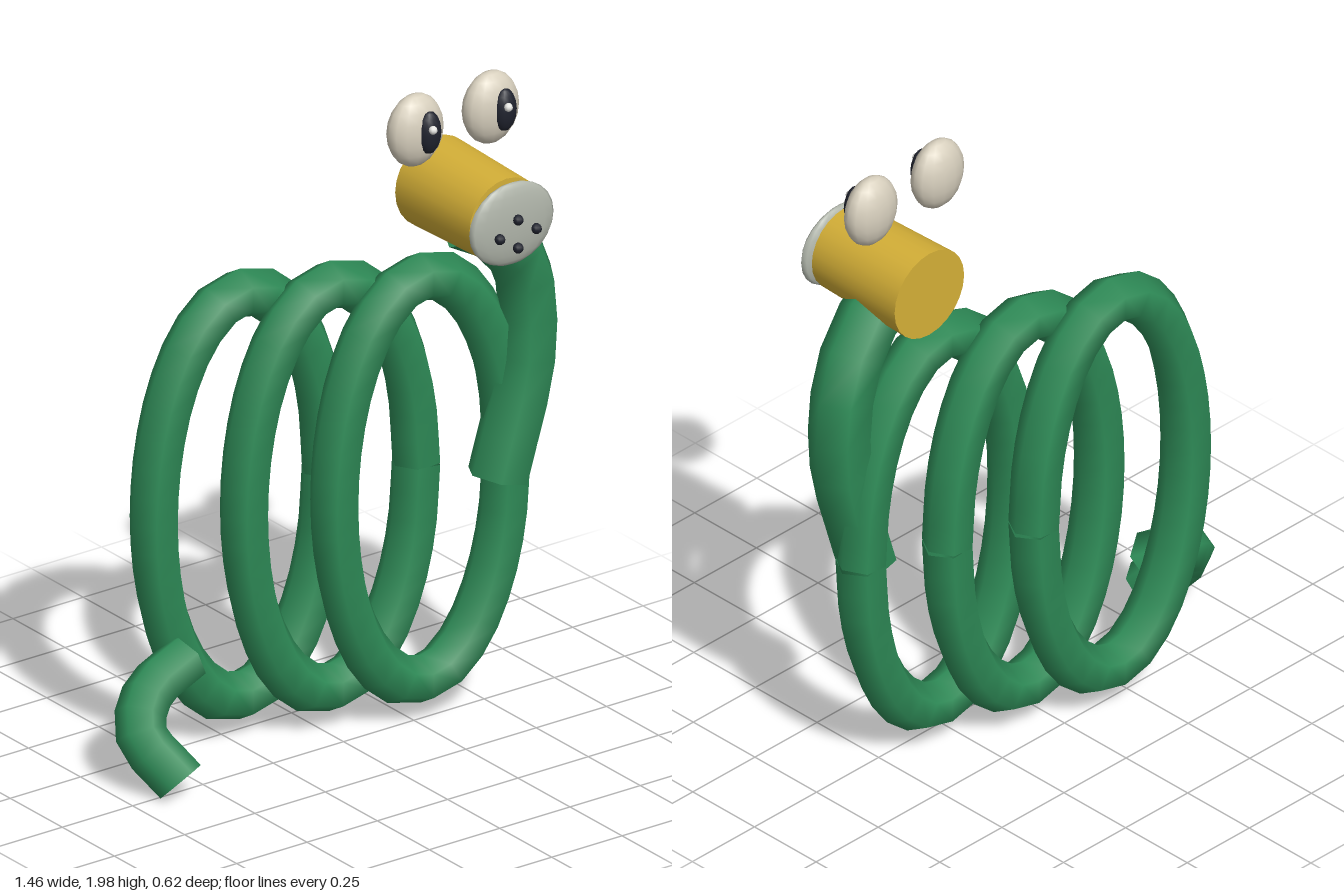
import * as THREE from 'three';

const mat = (name, color, side = THREE.FrontSide) => {
  const m = new THREE.MeshStandardMaterial({ color, side });
  m.name = name;
  return m;
};

// Six-sided tube with one edge on the outside of the bend
function hose(points, segments, radius) {
  const curve = new THREE.CatmullRomCurve3(points.map(p => new THREE.Vector3(...p)));
  const frames = curve.computeFrenetFrames.bind(curve);
  curve.computeFrenetFrames = (n, closed) => {
    const f = frames(n, closed);
    return { tangents: f.tangents, normals: f.binormals, binormals: f.normals.map(v => v.clone().negate()) };
  };
  return new THREE.TubeGeometry(curve, segments, radius, 6, false);
}

export function createModel() {
  const green = mat('hose green', 0x2e8b57, THREE.DoubleSide);
  const brass = mat('brass yellow', 0xd4af37);
  const grey = mat('nozzle grey', 0xb0b5aa);
  const cream = mat('eye cream', 0xd8d0be);
  const dark = mat('dark', 0x20232e);
  const white = mat('glint white', 0xf0f0ec);

  const model = new THREE.Group();
  model.name = 'hoseCreature';

  const add = (name, geometry, material, x = 0, y = 0, z = 0) => {
    const mesh = new THREE.Mesh(geometry, material);
    mesh.name = name;
    mesh.position.set(x, y, z);
    model.add(mesh);
    return mesh;
  };
  const ellipsoid = (name, material, [x, y, z], [rx, ry, rz], w = 14, h = 10) =>
    add(name, new THREE.SphereGeometry(1, w, h), material, x, y, z).scale.set(rx, ry, rz);

  // Three oval coils, each a loop whose ends meet on the left side
  const loop = [];
  for (let i = 0; i <= 18; i++) {
    const a = (i / 18) * Math.PI * 2;
    loop.push([0.306 * Math.cos(a), 0.632 * Math.sin(a), 0]);
  }
  const coilGeometry = hose(loop, 36, 0.075);
  for (let i = 0; i < 3; i++) {
    add('coil' + (i + 1), coilGeometry, green, -0.188 + i * 0.241, 0.755, -0.244 + i * 0.108);
  }

  // Neck rising from the front coil to the head
  add('neck', hose([
    [0.535, 0.712, 0.018], [0.635, 1.08, 0.018], [0.622, 1.34, 0.02], [0.52, 1.49, 0.045], [0.39, 1.57, 0.055],
  ], 8, 0.093), green);

  // Tail curling down to the ground
  add('tail', hose([
    [-0.445, 0.342, -0.155], [-0.6, 0.28, -0.13], [-0.664, 0.19, -0.075], [-0.605, 0.065, 0.035],
  ], 8, 0.075), green);

  // Head: slightly tapered barrel along z with a domed nozzle plate
  const hx = 0.405, hy = 1.626;
  add('head', new THREE.CylinderGeometry(0.131, 0.14, 0.345, 24), brass, hx, hy, 0.0625)
    .rotation.x = Math.PI / 2;
  ellipsoid('nozzlePlate', grey, [hx, hy, 0.259], [0.15, 0.128, 0.028], 16, 12);
  for (const [x, y] of [[0, 0.022], [-0.065, -0.022], [0.065, -0.022], [0, -0.066]]) {
    ellipsoid('nozzleHole', dark, [hx + x, hy + y, 0.292], [0.016, 0.016, 0.016], 8, 6);
  }

  // Eyes floating above the head
  for (const [side, x] of [['right', 0.226], ['left', 0.494]]) {
    ellipsoid(side + 'Eye', cream, [x, 1.888, 0.038], [0.094, 0.112, 0.055]);
    ellipsoid(side + 'Pupil', dark, [x + 0.018, 1.89, 0.083], [0.038, 0.066, 0.027], 12, 8);
    ellipsoid(side + 'Glint', white, [x + 0.009, 1.91, 0.113], [0.013, 0.013, 0.013], 8, 6);
  }

  return model;
}
